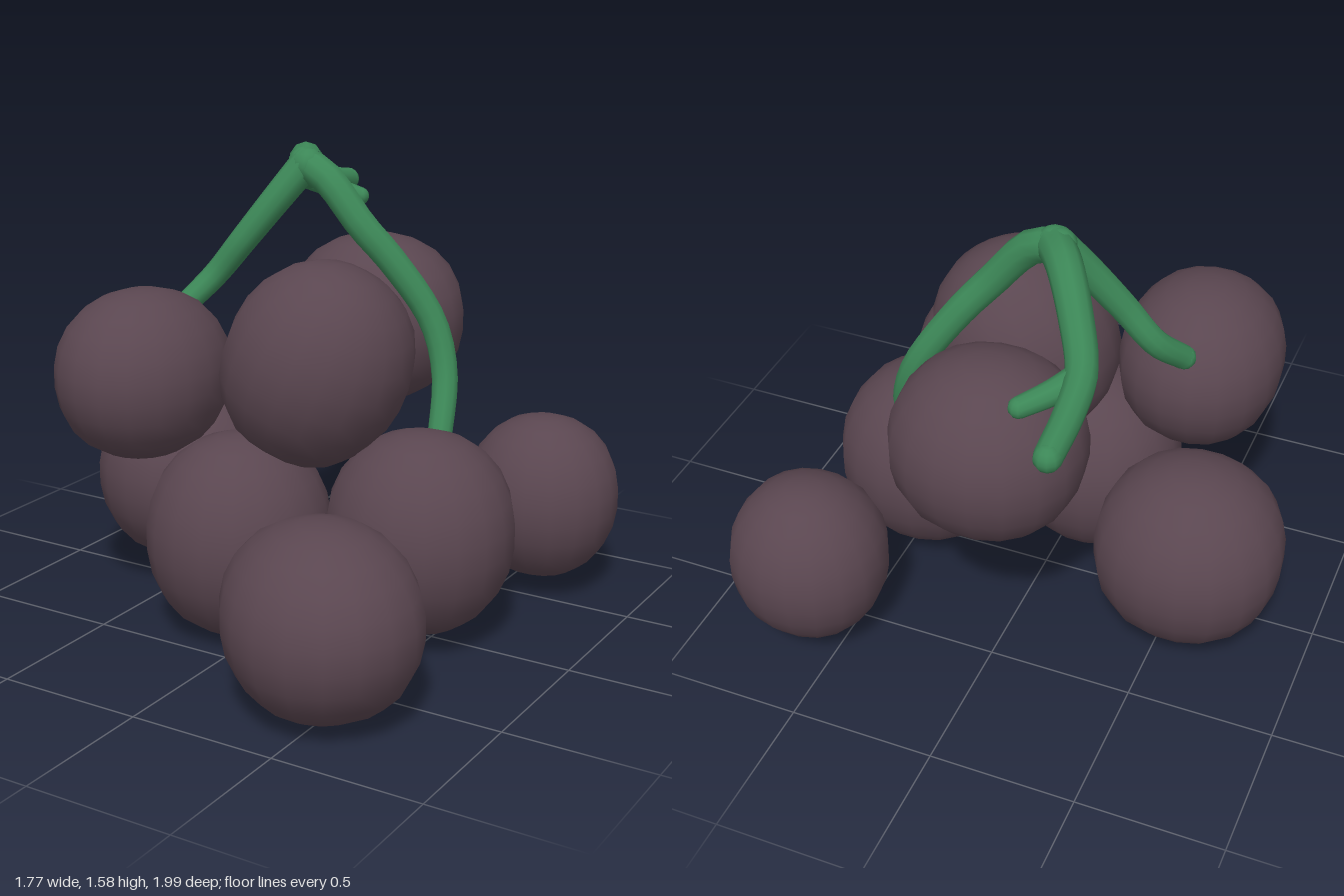
import * as THREE from 'three';

const grapeSkin = new THREE.MeshStandardMaterial({ color: 0x5a4650 });
grapeSkin.name = 'grapeSkin';
const stemGreen = new THREE.MeshStandardMaterial({ color: 0x3c8757 });
stemGreen.name = 'stemGreen';

// Slightly squared ellipsoid fruit: centre, radii, optional tilt
function grape(name, centre, radii, tilt = [0, 0, 0]) {
  const geo = new THREE.SphereGeometry(1, 18, 13);
  const pos = geo.attributes.position;
  const v = new THREE.Vector3();
  for (let i = 0; i < pos.count; i++) {
    v.fromBufferAttribute(pos, i);
    const p = Math.pow(Math.abs(v.x) ** 2.2 + Math.abs(v.y) ** 2.2 + Math.abs(v.z) ** 2.2, -1 / 2.2);
    v.multiplyScalar(p);
    pos.setXYZ(i, v.x * radii[0], v.y * radii[1], v.z * radii[2]);
  }
  // Average the normals of the smooth ellipsoid
  const normal = geo.attributes.normal;
  for (let i = 0; i < pos.count; i++) {
    v.fromBufferAttribute(pos, i);
    v.set(v.x / radii[0] ** 2, v.y / radii[1] ** 2, v.z / radii[2] ** 2).normalize();
    normal.setXYZ(i, v.x, v.y, v.z);
  }
  const mesh = new THREE.Mesh(geo, grapeSkin);
  mesh.name = name;
  mesh.position.set(...centre);
  mesh.rotation.set(...tilt);
  return mesh;
}

// Tapered tube through points with rounded ends
function branch(name, points, r0, r1) {
  const curve = new THREE.CatmullRomCurve3(points.map((p) => new THREE.Vector3(...p)));
  const segs = 20, sides = 10;
  const geo = new THREE.TubeGeometry(curve, segs, 1, sides);
  const pos = geo.attributes.position;
  const v = new THREE.Vector3();
  for (let i = 0; i <= segs; i++) {
    const c = curve.getPointAt(i / segs);
    const r = r0 + (r1 - r0) * (i / segs);
    for (let j = 0; j <= sides; j++) {
      const k = i * (sides + 1) + j;
      v.fromBufferAttribute(pos, k).sub(c).multiplyScalar(r).add(c);
      pos.setXYZ(k, v.x, v.y, v.z);
    }
  }
  const group = new THREE.Group();
  group.name = name;
  group.add(new THREE.Mesh(geo, stemGreen));
  [[0, r0], [1, r1]].forEach(([t, r]) => {
    const cap = new THREE.Mesh(new THREE.SphereGeometry(r, 10, 8), stemGreen);
    cap.name = 'branchEnd';
    cap.position.copy(curve.getPointAt(t));
    group.add(cap);
  });
  return group;
}

export function createModel() {
  const model = new THREE.Group();
  model.name = 'grapeBunch';

  // Lower layer
  model.add(
    grape('lowerRightGrape', [-0.57, 0.38, -0.12], [0.32, 0.32, 0.315]),
    grape('lowerMiddleGrape', [-0.09, 0.355, 0.27], [0.3, 0.345, 0.31]),
    grape('lowerLeftGrape', [0.46, 0.39, 0.02], [0.31, 0.34, 0.305]),
    grape('frontGrape', [0.47, 0.32, 0.67], [0.345, 0.305, 0.305], [0, -0.7, 0]),
    grape('backLeftGrape', [0.615, 0.355, -0.61], [0.265, 0.29, 0.258])
  );
  // Upper layer
  model.add(
    grape('upperRightGrape', [-0.455, 0.865, 0.295], [0.275, 0.285, 0.315]),
    grape('upperMiddleGrape', [0.11, 0.93, 0.1], [0.305, 0.345, 0.31], [0, 0, -0.4]),
    grape('upperBackGrape', [-0.01, 0.95, -0.5], [0.315, 0.3, 0.3])
  );

  // Stem and its branches meeting at the peak
  model.add(
    branch('mainStem', [[-0.11, 1.525, -0.2], [-0.18, 1.53, -0.3], [-0.28, 1.47, -0.46],
      [-0.365, 1.405, -0.63], [-0.385, 1.37, -0.78], [-0.39, 1.345, -0.95]], 0.06, 0.043),
    branch('twig', [[-0.37, 1.4, -0.63], [-0.3, 1.36, -0.69], [-0.22, 1.325, -0.75]], 0.045, 0.033),
    branch('rightBranch', [[-0.12, 1.53, -0.2], [-0.2, 1.41, -0.14], [-0.3, 1.27, -0.09],
      [-0.4, 1.14, -0.06], [-0.47, 1.04, 0.03]], 0.055, 0.04),
    branch('leftBranch', [[-0.13, 1.53, -0.21], [-0.03, 1.49, -0.19], [0.1, 1.34, -0.2], [0.2, 1.22, -0.24],
      [0.33, 1.02, -0.29], [0.39, 0.85, -0.27], [0.43, 0.63, -0.16]], 0.057, 0.042)
  );
  return model;
}
